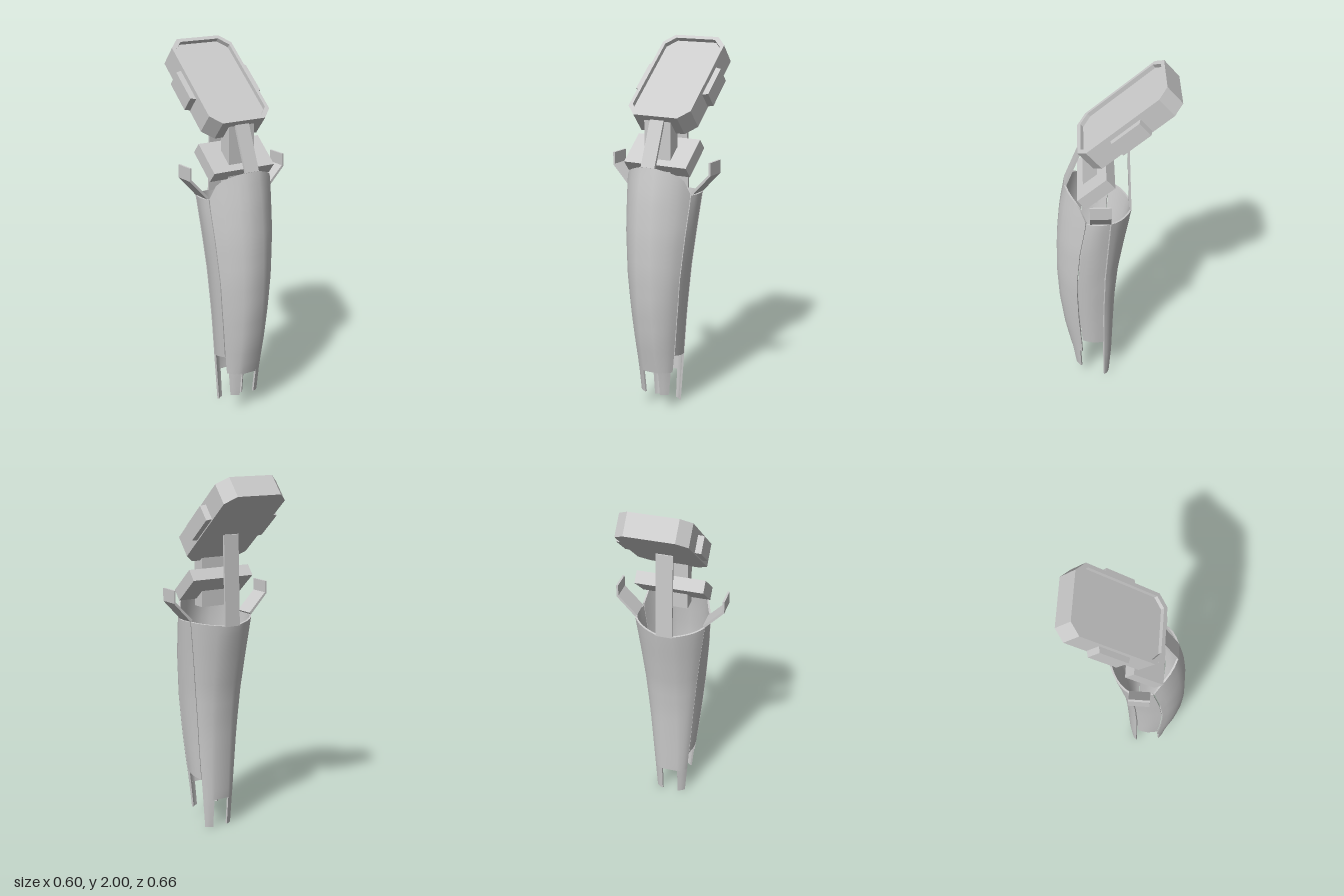
import * as THREE from 'three';
import { toCreasedNormals } from 'three/addons/utils/BufferGeometryUtils.js';

const material = new THREE.MeshStandardMaterial({ color: 0xcccccc });
const TILT = -0.867;

// Linear lookup in a short table of [y, value]
function at(table, y) {
  for (let i = 1; i < table.length; i++) {
    const [y0, v0] = table[i - 1], [y1, v1] = table[i];
    if (y <= y1 || i === table.length - 1) return v0 + (v1 - v0) * Math.max(0, (y - y0) / (y1 - y0));
  }
}

// Thin curved plate: surface(u, y) gives [x, z]; low(u) and high(u) give its ends
function plate(surface, us, low, high, rows = 18, thickness = 0.01) {
  const n = us.length, ring = 2 * n, pos = [], index = [];
  const point = (u, y) => { const [x, z] = surface(u, y); return new THREE.Vector3(x, y, z); };
  const e = 1e-3;
  for (let j = 0; j <= rows; j++) {
    const outer = [], inner = [];
    for (const u of us) {
      const y = low(u) + (high(u) - low(u)) * j / rows;
      const p = point(u, y);
      const du = point(u + e, y).sub(point(u - e, y));
      const dy = point(u, y + e).sub(point(u, y - e));
      outer.push(p);
      inner.unshift(p.clone().addScaledVector(du.cross(dy).normalize(), -thickness));
    }
    for (const p of [...outer, ...inner]) pos.push(p.x, p.y, p.z);
  }
  const quad = (a, b, c, d) => index.push(a, b, c, a, c, d);
  for (let j = 0; j < rows; j++) for (let k = 0; k < ring; k++) {
    const k1 = (k + 1) % ring, a = j * ring, b = a + ring;
    quad(a + k, a + k1, b + k1, b + k);
  }
  const top = rows * ring;
  for (let i = 0; i < n - 1; i++) {
    const o = i, o1 = i + 1, q = ring - 1 - i, q1 = ring - 2 - i;
    quad(o, q, q1, o1);
    quad(top + o, top + o1, top + q1, top + q);
  }
  const g = new THREE.BufferGeometry();
  g.setAttribute('position', new THREE.Float32BufferAttribute(pos, 3));
  g.setIndex(index);
  return toCreasedNormals(g, 0.5);
}

const toShape = pts => new THREE.Shape(pts.map(p => new THREE.Vector2(...p)));
const extrude = (shape, depth) => new THREE.ExtrudeGeometry(shape, { depth, bevelEnabled: false });

// Side profile of [z, y] points, extruded evenly across x
const acrossX = (pts, half) => extrude(toShape(pts), half * 2).rotateY(-Math.PI / 2).translate(half, 0, 0);

// Rectangle with cut corners
const cutRect = (w, h, c) => [
  [-w + c, -h], [w - c, -h], [w, -h + c], [w, h - c], [w - c, h], [-w + c, h], [-w, h - c], [-w, -h + c],
];

// Section tables along the height
const frontZ = [[0.08, 0.237], [0.2, 0.255], [0.4, 0.295], [0.6, 0.32], [0.8, 0.33], [1, 0.325], [1.2, 0.305], [1.36, 0.275]];
const frontEdgeX = [[0.08, 0.093], [0.22, 0.108], [0.4, 0.128], [0.6, 0.148], [0.8, 0.165], [1, 0.182], [1.2, 0.195], [1.36, 0.19]];
const frontEdgeZ = [[0.08, 0.2], [0.25, 0.2], [0.5, 0.215], [0.75, 0.222], [1, 0.2], [1.2, 0.165], [1.36, 0.16]];
const backZ = [[0, 0.045], [0.17, 0.03], [0.4, 0.02], [0.6, 0.01], [0.8, -0.01], [1, -0.045], [1.1, -0.065], [1.2, -0.083]];
const backEdgeX = [[0, 0.085], [0.2, 0.1], [0.4, 0.115], [0.6, 0.13], [0.8, 0.148], [1, 0.17], [1.2, 0.195]];
const backEdgeZ = [[0, 0.07], [0.5, 0.07], [0.8, 0.06], [1, 0.045], [1.2, 0.03]];

// Flat centre strip up to |u| = 1, curved flank up to |u| = 2
function wrap(u, strip, z0, x1, z1) {
  const a = Math.abs(u), t = Math.max(0, a - 1);
  const x = strip * Math.min(a, 1) + (x1 - strip) * t * (1.5 - 0.5 * t);
  return [Math.sign(u) * x, z0 + (z1 - z0) * t * (0.7 + 0.3 * t)];
}
const frontSurface = (u, y) => wrap(u, 0.042, at(frontZ, y), at(frontEdgeX, y), at(frontEdgeZ, y));
const backSurface = (u, y) => {
  const [x, z] = wrap(u, 0.046, at(backZ, y), at(backEdgeX, y), at(backEdgeZ, y));
  return [-x, z];
};
const sideSurface = side => (u, y) => {
  const t = side > 0 ? u : 1 - u;
  const x = THREE.MathUtils.lerp(at(frontEdgeX, y), at(backEdgeX, y), t) + 0.012 * Math.sin(Math.PI * t);
  return [side * x, THREE.MathUtils.lerp(at(frontEdgeZ, y) - 0.008, at(backEdgeZ, y) + 0.006, t)];
};

export function createModel() {
  const model = new THREE.Group();
  const add = (name, geometry, parent = model) => {
    const mesh = new THREE.Mesh(geometry, material);
    mesh.name = name;
    parent.add(mesh);
    return mesh;
  };
  const flank = [1, 1.2, 1.4, 1.6, 1.8, 2];
  const full = [...flank.map(u => -u).reverse(), ...flank];

  // Front and back shells with slanted top edges
  const frontTop = u => {
    const t = Math.max(0, Math.abs(u) - 1);
    return 1.36 - 0.06 * t - 0.08 * t ** 6;
  };
  add('frontShell', plate(frontSurface, full, () => 0.213, frontTop));
  add('backShell', plate(backSurface, full, () => 0.165, u => 1.19 + 0.02 * Math.max(0, Math.abs(u) - 1)));

  // Prongs below the shells, side panels and hooked arms
  for (const side of [1, -1]) {
    const label = side > 0 ? 'left' : 'right';
    const range = (a, b) => [0, 1, 2, 3].map(i => a + (b - a) * i / 3).map(u => u * side).sort((p, q) => p - q);
    add(label + 'FrontProng', plate(frontSurface, range(1.06, 1.85), () => 0.08, () => 0.22, 4));
    add(label + 'BackProng', plate(backSurface, range(1.01, 2), () => 0, () => 0.17, 4));

    const panelLow = u => 0.285 + 0.025 * (side > 0 ? 1 - u : u);
    add(label + 'SidePanel', plate(sideSurface(side), [0, 0.25, 0.5, 0.75, 1], panelLow, () => 1.21));

    const hook = [[0.186, 1.222], [0.197, 1.212], [0.301, 1.322], [0.301, 1.392], [0.29, 1.392], [0.29, 1.328]];
    add(label + 'Arm', extrude(toShape(hook.map(([x, y]) => [x * side, y])), 0.112).translate(0, 0, 0.03));
  }

  // Straps joining the shells to the head
  add('frontStrap', acrossX([[0.265, 1.35], [0.276, 1.36], [0.178, 1.605], [0.166, 1.6]], 0.042));
  add('backStrap', acrossX([[-0.083, 1.185], [-0.071, 1.185], [-0.055, 1.69], [-0.067, 1.68]], 0.046));

  // Neck post and tilted crosspiece
  add('neckPost', new THREE.BoxGeometry(0.16, 0.33, 0.075).translate(0, 1.435, 0.138));
  const crosspiece = add('crosspiece', new THREE.BoxGeometry(0.38, 0.2, 0.07));
  crosspiece.position.set(0, 1.4, 0.107);
  crosspiece.rotation.x = TILT;

  // Tilted head: body, raised rim around the recessed face, and side tabs
  const head = new THREE.Group();
  head.name = 'head';
  head.position.set(0, 1.81, -0.024);
  head.rotation.x = TILT;
  model.add(head);
  const outline = cutRect(0.19, 0.2935, 0.057);
  add('headBody', extrude(toShape(outline), 0.101).translate(0, 0, -0.124), head);
  const rim = toShape(outline);
  rim.holes.push(new THREE.Path(cutRect(0.17, 0.2715, 0.05).map(p => new THREE.Vector2(...p))));
  add('headRim', extrude(rim, 0.023).translate(0, 0, -0.023), head);
  for (const s of [1, -1]) {
    const tab = [[0.18, -0.1], [0.222, -0.09], [0.222, 0.09], [0.18, 0.1]].map(([x, y]) => [x * s, y]);
    add(s > 0 ? 'leftTab' : 'rightTab', extrude(toShape(tab), 0.092).translate(0, 0, -0.118), head);
  }
  return model;
}
